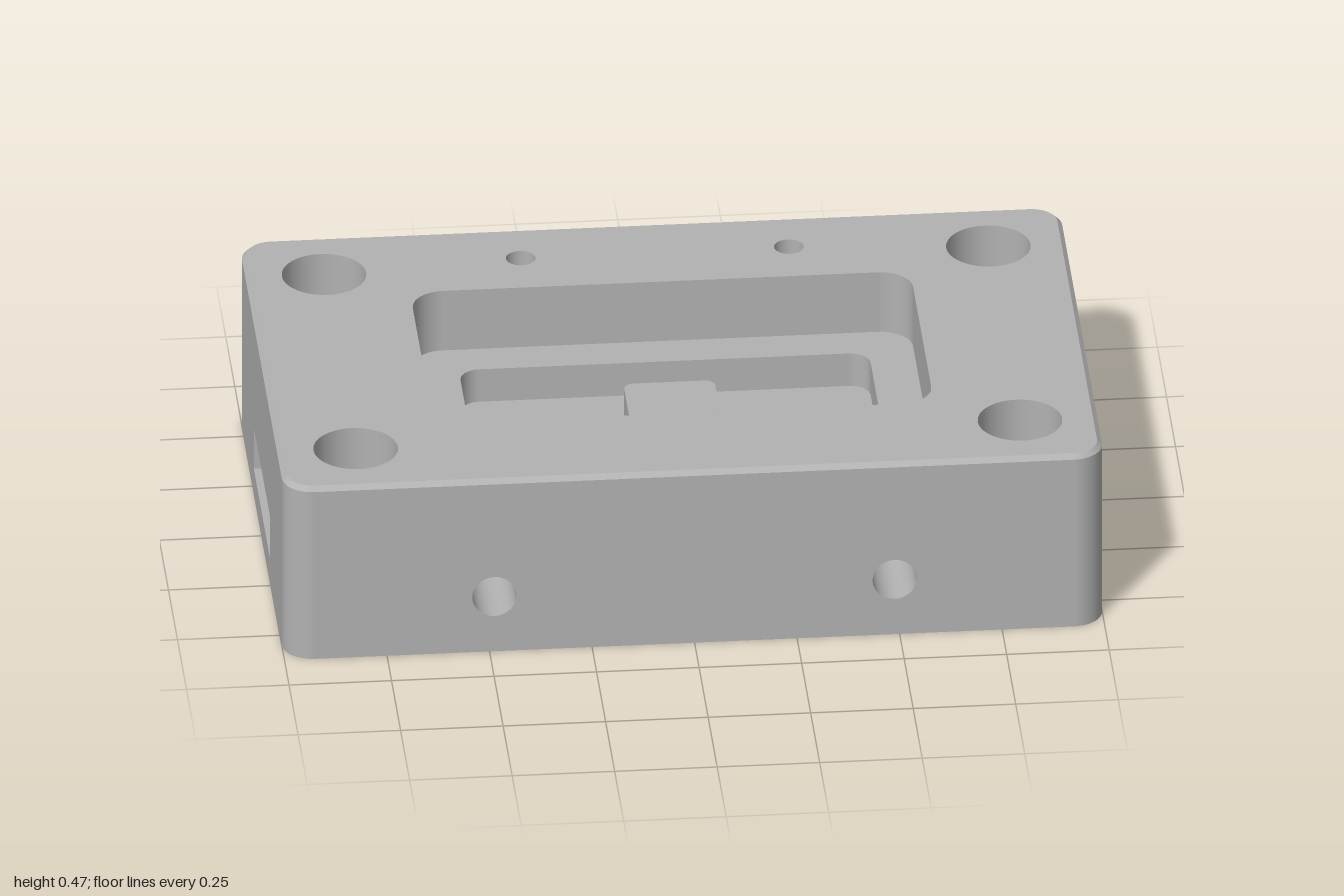
import * as THREE from 'three';
import { mergeGeometries } from 'three/addons/utils/BufferGeometryUtils.js';

const W = 2, D = 1.25, H = 0.475, R = 0.075, BEVEL = 0.012;
const LEDGE = 0.31, FLOOR = 0.22, BORE = 0.22;
const QUARTER = Math.PI / 2;

// Rounded rectangle centred on the origin
function roundedRect(w, d, r) {
  const s = new THREE.Shape(), x = w / 2 - r, y = d / 2 - r;
  s.absarc(x, y, r, 0, QUARTER);
  s.absarc(-x, y, r, QUARTER, 2 * QUARTER);
  s.absarc(-x, -y, r, 2 * QUARTER, 3 * QUARTER);
  s.absarc(x, -y, r, 3 * QUARTER, 4 * QUARTER);
  s.closePath();
  return s;
}

function circle(x, y, r) {
  return new THREE.Path().absarc(x, y, r, 0, Math.PI * 2, true);
}

// Horizontal face with openings
function cap(shape, y, holes = []) {
  shape.holes.push(...holes);
  return new THREE.ShapeGeometry(shape, 16).rotateX(-QUARTER).translate(0, y, 0);
}

// Quarter-round corners of a vertical wall, leaning in by inset
function corners(w, d, r, y0, y1, inset = 0) {
  return [0, 1, 2, 3].map(k =>
    new THREE.CylinderGeometry(r - inset, r, y1 - y0, 10, 1, true, k * QUARTER, QUARTER)
      .translate((k < 2 ? 1 : -1) * (w / 2 - r), (y0 + y1) / 2, (k % 3 ? -1 : 1) * (d / 2 - r)));
}

// Complete wall following a rounded rectangle
function wall(w, d, r, y0, y1, inset = 0) {
  const h = y1 - y0;
  const sides = [0, 1, 2, 3].map(k =>
    new THREE.PlaneGeometry((k % 2 ? d : w) - 2 * r, Math.hypot(h, inset))
      .rotateX(-Math.atan2(inset, h))
      .translate(0, (y0 + y1) / 2, ((k % 2 ? w : d) - inset) / 2)
      .rotateY(k * QUARTER));
  return mergeGeometries(r > 0 ? [...sides, ...corners(w, d, r, y0, y1, inset)] : sides);
}

// Blind hole opening towards +z at the origin
function blindHole(r, depth) {
  return mergeGeometries([
    new THREE.CylinderGeometry(r, r, depth, 32, 1, true).rotateX(QUARTER).translate(0, 0, -depth / 2),
    new THREE.CircleGeometry(r, 32).translate(0, 0, -depth)
  ]);
}

export function createModel() {
  const group = new THREE.Group();
  const metal = new THREE.MeshStandardMaterial({ color: 0xb2b2b2, side: THREE.DoubleSide });
  metal.name = 'grey metal';
  const add = (name, geometry) => {
    const mesh = new THREE.Mesh(geometry, metal);
    mesh.name = name;
    group.add(mesh);
  };

  const bolts = [];
  for (const x of [-0.81, 0.81]) for (const z of [-0.4375, 0.4375]) bolts.push([x, z]);
  const pins = [[-0.327, -0.477], [0.327, -0.477]];
  const ports = [[-0.375, 0], [0.375, 0]];
  const openings = (list, r) => list.map(([x, z]) => circle(x, -z, r));

  // Top, bottom and softened upper edge
  add('topFace', cap(roundedRect(W - 2 * BEVEL, D - 2 * BEVEL, R - BEVEL), H,
    [...openings(bolts, 0.103), ...openings(pins, 0.036), roundedRect(1.22, 0.66, 0.08)]));
  add('bottomFace', cap(roundedRect(W, D, R), 0, openings(bolts, 0.058)).rotateZ(Math.PI));
  add('topBevel', wall(W, D, R, H - BEVEL, H, BEVEL));
  add('bodyCorners', mergeGeometries(corners(W, D, R, 0, H - BEVEL)));

  // Side panels with round ports and shallow slots
  const slotY = 0.12, slotW = 0.45, slotH = 0.116, slotDepth = 0.025;
  const sideHoles = [[[-0.488, 0.152, 0.054], [0.488, 0.152, 0.054]], [], [[0, 0.185, 0.045]], []];
  ['front', 'left', 'back', 'right'].forEach((side, k) => {
    const half = (k % 2 ? D : W) / 2 - R, dist = (k % 2 ? W : D) / 2, top = H - BEVEL;
    const panel = new THREE.Shape().moveTo(-half, 0).lineTo(half, 0).lineTo(half, top).lineTo(-half, top);
    for (const [x, y, r] of sideHoles[k]) {
      panel.holes.push(circle(x, y, r));
      add(side + 'Port', blindHole(r, 0.25).translate(x, y, dist).rotateY(k * QUARTER));
    }
    if (k % 2) {
      const a = slotW / 2, b = slotH / 2;
      panel.holes.push(new THREE.Path().moveTo(-a, slotY - b).lineTo(-a, slotY + b)
        .lineTo(a, slotY + b).lineTo(a, slotY - b));
      add(side + 'Slot', mergeGeometries([
        wall(slotW, slotH, 0, -slotDepth, 0).rotateX(QUARTER),
        new THREE.PlaneGeometry(slotW, slotH).translate(0, 0, -slotDepth)
      ]).translate(0, slotY, dist).rotateY(k * QUARTER));
    }
    add(side + 'Panel', new THREE.ShapeGeometry(panel, 16).translate(0, 0, dist).rotateY(k * QUARTER));
  });

  // Stepped pocket with a raised pad in the middle
  add('pocketWall', wall(1.22, 0.66, 0.08, LEDGE, H));
  add('pocketLedge', cap(roundedRect(1.22, 0.66, 0.08), LEDGE, [roundedRect(1, 0.455, 0.05)]));
  add('innerPocketWall', wall(1, 0.455, 0.05, FLOOR, LEDGE));
  add('pocketFloor', cap(roundedRect(1, 0.455, 0.05), FLOOR, openings(ports, 0.041)));
  add('padWall', wall(0.222, 0.176, 0.025, FLOOR, 0.33));
  add('padTop', cap(roundedRect(0.222, 0.176, 0.025), 0.33));

  // Counterbored corner holes
  for (const [x, z] of bolts) {
    add('boltHole', mergeGeometries([
      new THREE.CylinderGeometry(0.103, 0.103, H - BORE, 40, 1, true).translate(0, (H + BORE) / 2, 0),
      new THREE.RingGeometry(0.058, 0.103, 40).rotateX(-QUARTER).translate(0, BORE, 0),
      new THREE.CylinderGeometry(0.058, 0.058, BORE, 40, 1, true).translate(0, BORE / 2, 0)
    ]).translate(x, 0, z));
  }

  // Small holes in the top and the pocket floor
  for (const [x, z] of pins) add('pinHole', blindHole(0.036, 0.2).rotateX(-QUARTER).translate(x, H, z));
  for (const [x, z] of ports) add('floorPort', blindHole(0.041, 0.12).rotateX(-QUARTER).translate(x, FLOOR, z));

  return group;
}
